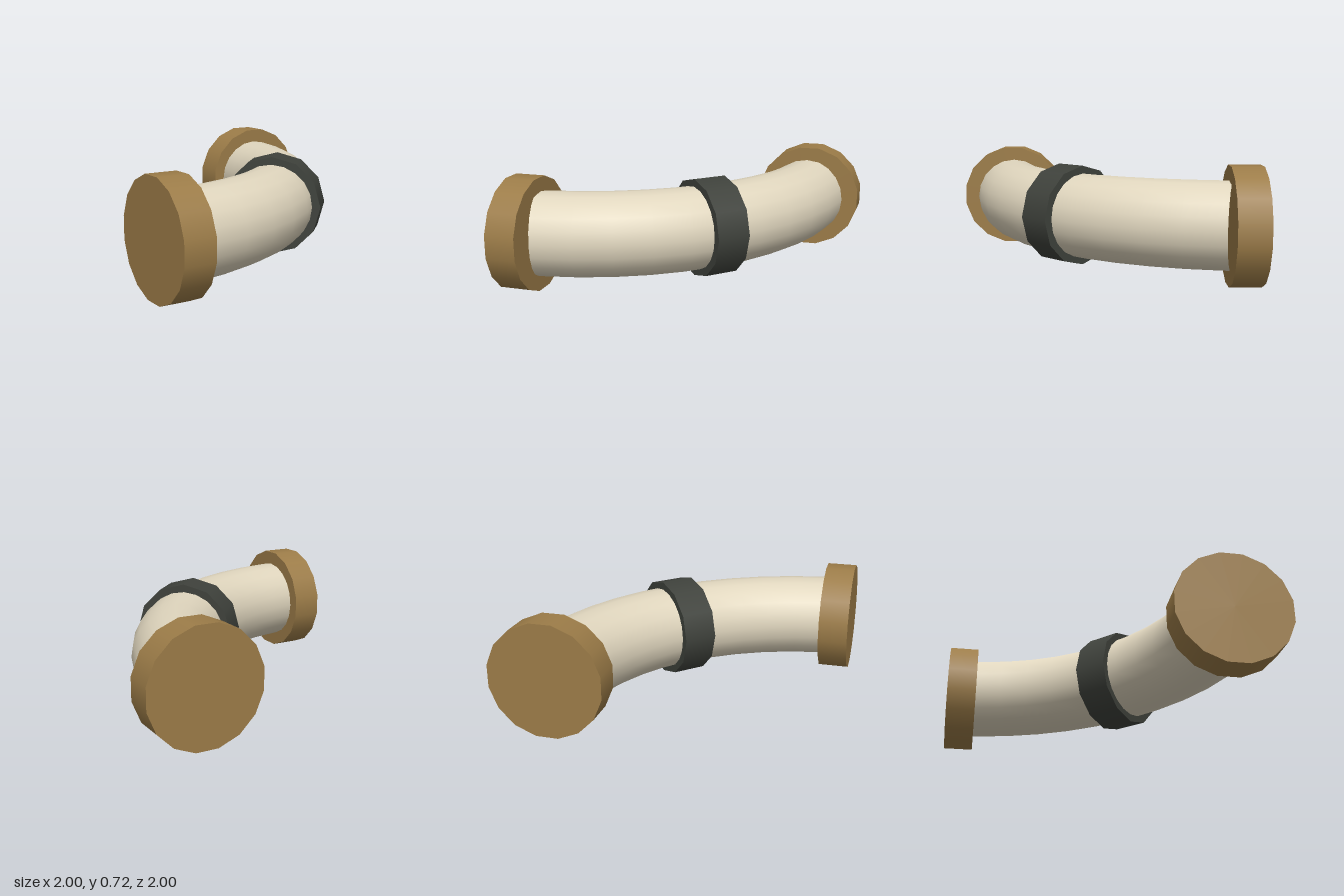
import * as THREE from 'three';

const HEIGHT = 0.362;      // axis height of the pipe
const BEND = 1.64;         // bend radius, centred on (-1, -1) in plan
const RINGS = 12;

// Quarter bend; the two rings at each end are cut at a steeper slant
class BendCurve extends THREE.Curve {
  angle(i) {
    return THREE.MathUtils.degToRad(THREE.MathUtils.clamp(i * 90 / RINGS, 6, 84));
  }
  getPoint(u) {
    const a = this.angle(u * RINGS);
    return new THREE.Vector3(-1 + BEND * Math.sin(a), HEIGHT, -1 + BEND * Math.cos(a));
  }
  getPointAt(u) {
    return this.getPoint(u);
  }
  getTangentAt(u) {
    const i = Math.round(u * RINGS);
    const fromEnd = Math.min(i, RINGS - i);
    const slant = [7.5, 4.5][fromEnd] ?? 0;
    const a = this.angle(i) + THREE.MathUtils.degToRad(i < RINGS / 2 ? slant : -slant);
    return new THREE.Vector3(Math.cos(a), 0, -Math.sin(a));
  }
}

// Disc whose axis points along dir, turned so that its flats face up and down
function disc(name, color, radius, depth, sides, position, dir) {
  const r = radius / Math.cos(Math.PI / sides);
  const geometry = new THREE.CylinderGeometry(r, r, depth, sides, 1, false, Math.PI / sides);
  const mesh = new THREE.Mesh(geometry, new THREE.MeshStandardMaterial({ color }));
  mesh.name = name;
  mesh.position.set(...position);
  mesh.quaternion.setFromUnitVectors(new THREE.Vector3(0, 1, 0), new THREE.Vector3(...dir).normalize());
  return mesh;
}

export function createModel() {
  const model = new THREE.Group();
  model.name = 'pipeElbow';

  // Curved pipe
  const pipe = new THREE.Mesh(
    new THREE.TubeGeometry(new BendCurve(), RINGS, 0.272, 20, false),
    new THREE.MeshStandardMaterial({ color: 0xe0d6be, side: THREE.DoubleSide })
  );
  pipe.name = 'pipe';
  model.add(pipe);

  // Brass end flanges
  const brass = 0x9c7c48;
  model.add(disc('rightFlange', brass, 0.361, 0.195, 16, [-0.9025, HEIGHT, 0.64], [1, 0, 0]));
  model.add(disc('backFlange', brass, 0.361, 0.195, 16, [0.64, HEIGHT, -0.9025], [0, 0, 1]));

  // Dark clamp band around the middle of the bend
  model.add(disc('clampBand', 0x3f423c, 0.312, 0.222, 12, [0.157, HEIGHT, 0.157], [1, 0, -1]));

  return model;
}
